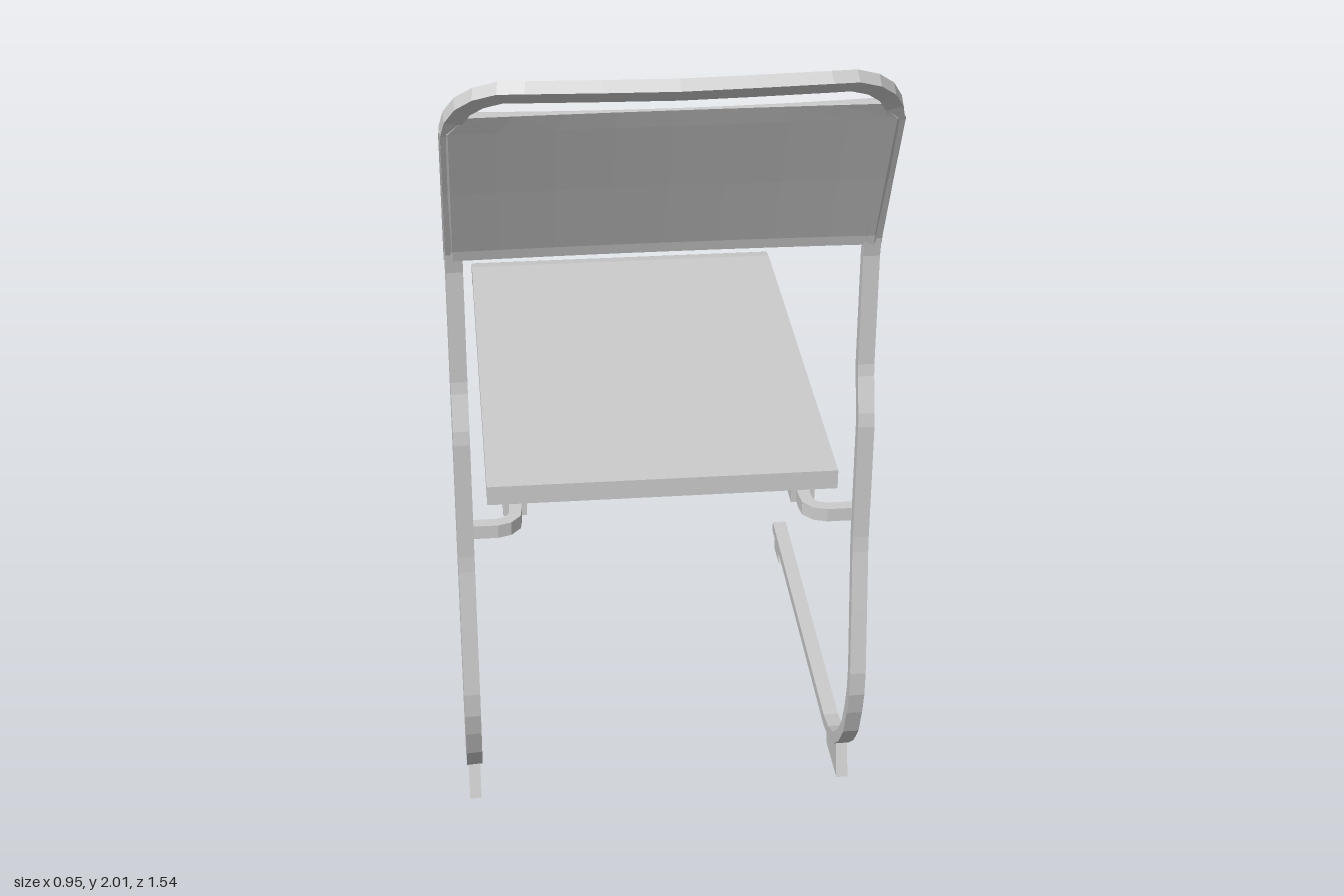
import * as THREE from 'three';

const material = new THREE.MeshStandardMaterial({ color: 0xcccccc, flatShading: true, side: THREE.DoubleSide });

function addMesh(parent, name, geometry) {
  const mesh = new THREE.Mesh(geometry, material);
  mesh.name = name;
  parent.add(mesh);
  return mesh;
}

// Joins equal-length closed rings of points into a capped solid.
function loft(rings) {
  const n = rings[0].length, index = [];
  const positions = rings.flat().flatMap(p => [p.x, p.y, p.z]);
  for (let i = 0; i < rings.length - 1; i++) {
    for (let j = 0; j < n; j++) {
      const a = i * n + j, b = i * n + (j + 1) % n;
      index.push(a, b, a + n, b, b + n, a + n);
    }
  }
  const last = (rings.length - 1) * n;
  for (let j = 1; j < n / 2; j++) {
    const k = n - j;
    // caps are strips between the two long sides of the ring
    for (const [o, flip] of [[0, false], [last, true]]) {
      const q = [o + j - 1, o + (k + 1) % n, o + j, o + k];
      const tris = [q[0], q[1], q[2], q[2], q[1], q[3]];
      index.push(...(flip ? tris.reverse() : tris));
    }
  }
  const geometry = new THREE.BufferGeometry();
  geometry.setAttribute('position', new THREE.Float32BufferAttribute(positions, 3));
  geometry.setIndex(index);
  geometry.computeVertexNormals();
  return geometry;
}

// Sweeps a rectangular section along points, carrying the side axis along the bends.
function sweep(points, side, halfSide, halfOther) {
  let u = side.clone();
  const rings = points.map((p, i) => {
    const before = points[Math.max(i - 1, 0)], after = points[Math.min(i + 1, points.length - 1)];
    const d0 = p.clone().sub(before).normalize(), d1 = after.clone().sub(p).normalize();
    const t = d0.add(d1).normalize();
    u = u.clone().addScaledVector(t, -u.dot(t)).normalize();
    const v = t.clone().cross(u);
    return [[1, 1], [-1, 1], [-1, -1], [1, -1]].map(([a, b]) =>
      p.clone().addScaledVector(u, a * halfSide).addScaledVector(v, b * halfOther));
  });
  return loft(rings);
}

// Extrudes a side outline given as [z, y] across x.
function sideExtrude(outline, width, x = 0) {
  const shape = new THREE.Shape(outline.map(([z, y]) => new THREE.Vector2(-z, y)));
  const geometry = new THREE.ExtrudeGeometry(shape, { depth: width, bevelEnabled: false });
  return geometry.translate(0, 0, -width / 2).rotateY(Math.PI / 2).translate(x, 0, 0);
}

const mirrorPath = half => [...half, ...half.slice(0, -1).reverse().map(p => new THREE.Vector3(-p.x, p.y, p.z))];

export function createModel() {
  const model = new THREE.Group();
  model.name = 'cantileverChair';

  // One continuous bar: runner, rear bend, upright, top rail, and back down
  const legX = 0.453;
  const sidePath = [
    [-0.675, 0.064], [0.24, 0.059], [0.31, 0.073], [0.38, 0.107], [0.44, 0.16], [0.49, 0.225],
    [0.52, 0.3], [0.535, 0.36], [0.537, 0.42], [0.515, 0.58], [0.493, 0.73], [0.49, 0.77], [0.49, 1.06],
    [0.485, 1.09], [0.458, 1.17], [0.453, 1.2], [0.453, 1.47], [0.463, 1.52], [0.55, 1.7], [0.635, 1.865],
  ].map(([z, y]) => new THREE.Vector3(legX, y, z));
  const railPath = [
    [0.445, 1.9, 0.655], [0.425, 1.934, 0.678], [0.393, 1.961, 0.703], [0.35, 1.978, 0.722],
    [0.3, 1.982, 0.735], [0.15, 1.982, 0.743], [0, 1.982, 0.749],
  ].map(p => new THREE.Vector3(...p));
  addMesh(model, 'frameBar', sweep(mirrorPath([...sidePath, ...railPath]), new THREE.Vector3(1, 0, 0), 0.0185, 0.0145));

  // Back panel wraps the uprights and thins toward the middle
  const panelRows = [[0.458, 1.5, 0.474], [0.466, 1.525, 0.474], [0.55, 1.695, 0.474], [0.637, 1.865, 0.474], [0.657, 1.907, 0.435]];
  const steps = [-1, -0.96, -0.75, -0.5, -0.25, 0, 0.25, 0.5, 0.75, 0.96, 1];
  const panelRings = panelRows.map(([z, y, w]) => {
    const dip = s => -0.008 * (1 - s * s);
    const front = steps.map(s => new THREE.Vector3(s * w, y + dip(s), z - (Math.abs(s) === 1 ? 0.008 : 0.018)));
    const rear = steps.map(s => new THREE.Vector3(s * w, y + dip(s), z + (Math.abs(s) === 1 ? 0.008 : -0.006 + 0.024 * s * s)));
    return [...front, ...rear.reverse()].reverse();
  });
  addMesh(model, 'backPanel', loft(panelRings));

  // Seat board with a rolled-down lip
  addMesh(model, 'seat', sideExtrude([
    [0.472, 0.885], [0.472, 0.932], [-0.67, 0.932], [-0.705, 0.926], [-0.735, 0.912], [-0.755, 0.89],
    [-0.766, 0.852], [-0.722, 0.852], [-0.713, 0.871], [-0.698, 0.882], [-0.675, 0.885],
  ], 0.8));

  // U-shaped bar under the seat, turned outward to meet the uprights
  const supportHalf = [
    [0.445, 0.465], [0.38, 0.465], [0.355, 0.457], [0.338, 0.437], [0.335, 0.41], [0.335, -0.5],
    [0.328, -0.54], [0.306, -0.572], [0.27, -0.59], [0.23, -0.595], [0, -0.595],
  ].map(([x, z]) => new THREE.Vector3(x, 0.818, z));
  addMesh(model, 'seatSupportBar', sweep(mirrorPath(supportHalf), new THREE.Vector3(0, 1, 0), 0.0165, 0.0145));

  for (const [side, s] of [['left', 1], ['right', -1]]) {
    // Mounting blocks between support bar and seat
    addMesh(model, side + 'RearBlock', new THREE.BoxGeometry(0.055, 0.087, 0.085))
      .position.set(s * 0.335, 0.8435, 0.342);
    addMesh(model, side + 'FrontBlock', new THREE.BoxGeometry(0.065, 0.122, 0.18))
      .position.set(s * 0.337, 0.826, -0.43);
    // Feet under the runner
    addMesh(model, side + 'RearFoot', sideExtrude(
      [[0.392, 0.105], [0.42, 0.016], [0.275, 0.01], [0.262, 0.058], [0.31, 0.075]], 0.028, s * legX));
    addMesh(model, side + 'FrontFoot', sideExtrude(
      [[-0.565, 0.062], [-0.565, 0.048], [-0.59, 0.042], [-0.572, 0.004], [-0.655, 0], [-0.674, 0.062]], 0.028, s * legX));
  }
  return model;
}
